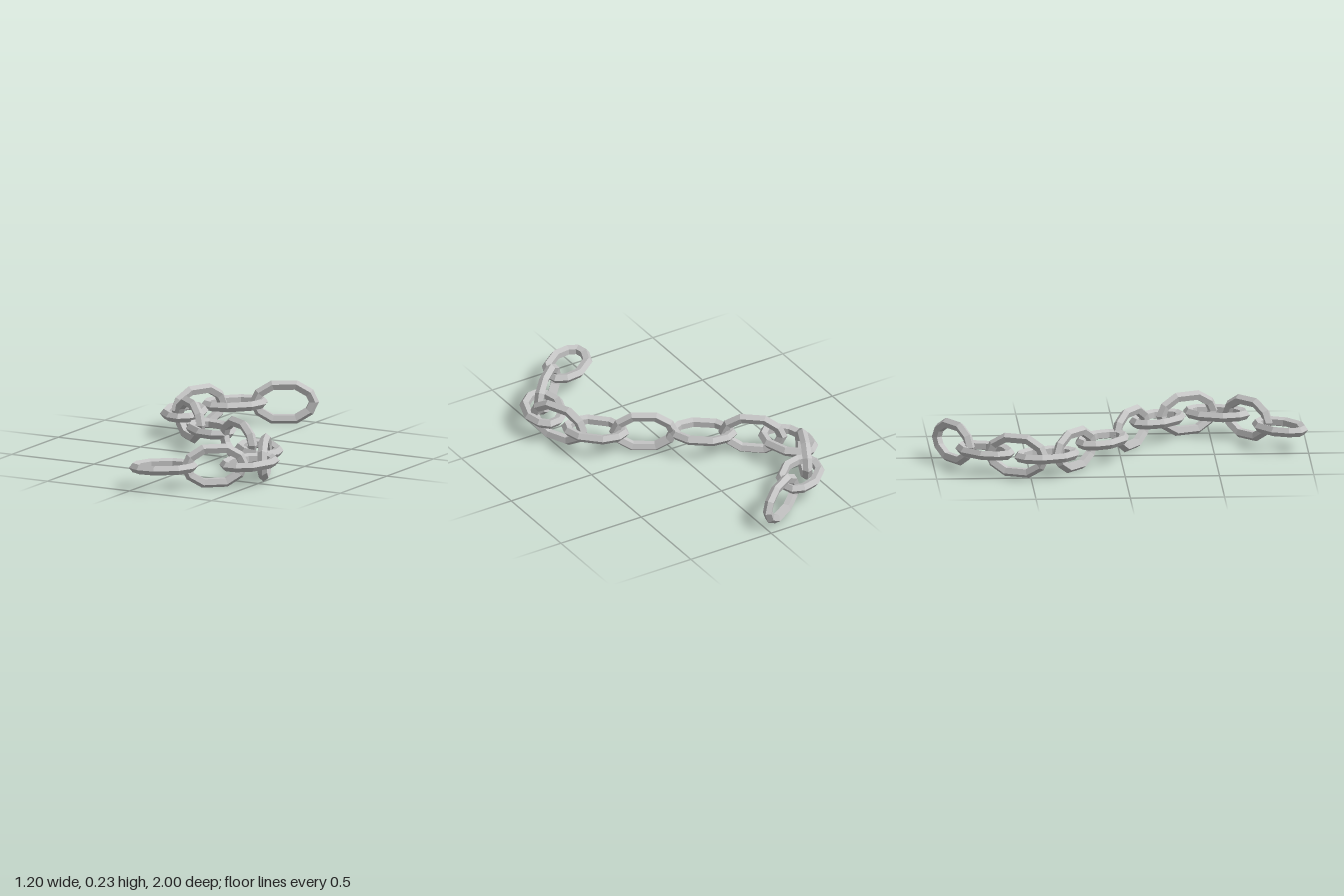
import * as THREE from 'three';

// Outer outline of one link: a stretched ten-sided ring, long axis on x
const OUTLINE = [
  [0.185, 0], [0.153, 0.067], [0.069, 0.117], [-0.069, 0.117], [-0.153, 0.067],
  [-0.185, 0], [-0.153, -0.067], [-0.069, -0.117], [0.069, -0.117], [0.153, -0.067],
].map(([x, y]) => new THREE.Vector2(x, y));
const SIDES = 5;
const BAR_RADIUS = 0.0265;

// Sweeps a five-sided bar, one edge outward, around the outline with mitred corners
function linkGeometry() {
  const n = OUTLINE.length;
  const positions = [];
  const index = [];
  OUTLINE.forEach((p, i) => {
    const before = p.clone().sub(OUTLINE[(i + n - 1) % n]).normalize();
    const after = OUTLINE[(i + 1) % n].clone().sub(p).normalize();
    const along = before.clone().add(after).normalize();
    const out = new THREE.Vector2(along.y, -along.x);
    const miter = 1 / along.dot(after);
    for (let j = 0; j < SIDES; j++) {
      const a = (j / SIDES) * Math.PI * 2;
      const offset = (Math.cos(a) - 1) * BAR_RADIUS * miter;
      positions.push(p.x + out.x * offset, p.y + out.y * offset, Math.sin(a) * BAR_RADIUS);
      const k = (j + 1) % SIDES;
      const r0 = i * SIDES;
      const r1 = ((i + 1) % n) * SIDES;
      index.push(r0 + j, r1 + j, r1 + k, r0 + j, r1 + k, r0 + k);
    }
  });
  const g = new THREE.BufferGeometry();
  g.setAttribute('position', new THREE.Float32BufferAttribute(positions, 3));
  g.setIndex(index);
  const flat = g.toNonIndexed();
  flat.computeVertexNormals();
  return flat;
}

// Links along the S curve: centre x, z and long-axis direction x, z.
// Upright and flat links alternate.
const LINKS = [
  [-0.13, -0.892, 56, -34],
  [-0.345, -0.735, 71, -70],
  [-0.468, -0.573, 27, -60],
  [-0.468, -0.414, 31, 95],
  [-0.345, -0.258, 52, 43],
  [-0.128, -0.103, 79, 61],
  [0.133, 0.065, 56, 35],
  [0.344, 0.216, 71, 70],
  [0.472, 0.38, 28, 62],
  [0.467, 0.536, -33, 94],
  [0.346, 0.694, -51, 45],
  [0.124, 0.854, -80, 60],
];

export function createModel() {
  const group = new THREE.Group();
  group.name = 'chain';
  const steel = new THREE.MeshStandardMaterial({ color: 0xc4c4c4, flatShading: true });
  steel.name = 'steel grey';
  const geometry = linkGeometry();

  LINKS.forEach(([x, z, dx, dz], i) => {
    const upright = i % 2 === 0;
    const link = new THREE.Mesh(geometry, steel);
    link.name = (upright ? 'uprightLink' : 'flatLink') + (Math.floor(i / 2) + 1);
    link.position.set(x, 0.117, z);
    link.rotation.set(upright ? 0 : Math.PI / 2, Math.atan2(-dz, dx), 0, 'YXZ');
    group.add(link);
  });
  return group;
}
